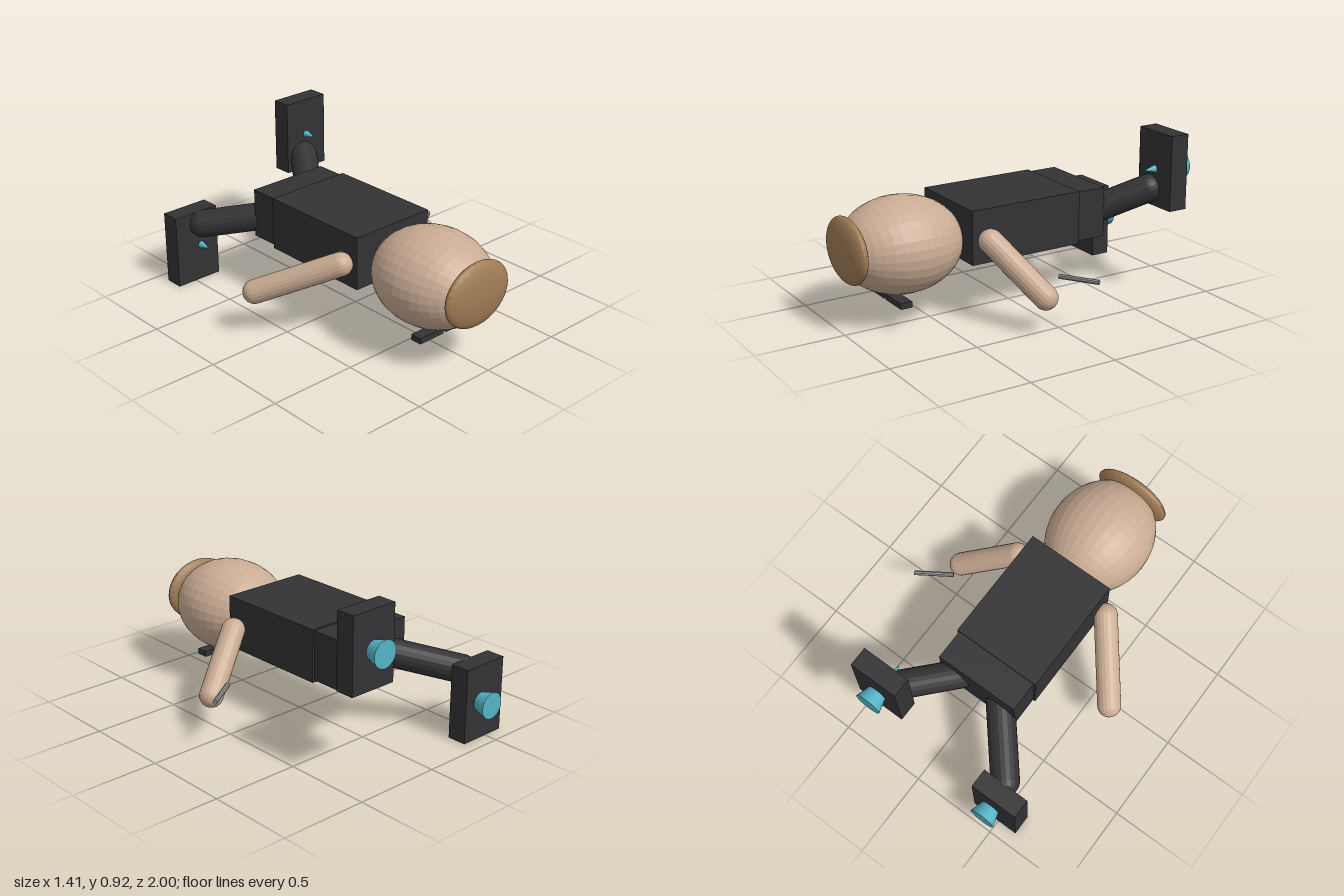
import * as THREE from 'three';

const paint = (color) => new THREE.MeshStandardMaterial({ color });

export function createModel() {
  const model = new THREE.Group();
  const skin = paint(0xcaac94), hair = paint(0xa07c55), dark = paint(0x333336);
  const teal = paint(0x55b4c6), metal = paint(0x909090);
  for (const m of [skin, hair, dark, teal, metal]) m.flatShading = true;

  const add = (name, geometry, material, x = 0, y = 0, z = 0) => {
    const mesh = new THREE.Mesh(geometry, material);
    mesh.name = name;
    mesh.position.set(x, y, z);
    model.add(mesh);
    return mesh;
  };

  // Box given by its lower and upper corners
  const box = (name, material, [x0, y0, z0], [x1, y1, z1]) =>
    add(name, new THREE.BoxGeometry(x1 - x0, y1 - y0, z1 - z0), material,
      (x0 + x1) / 2, (y0 + y1) / 2, (z0 + z1) / 2);

  // Ellipsoid with its poles along z
  const ellipsoid = (name, material, [x, y, z], [rx, ry, rz]) => {
    const geometry = new THREE.SphereGeometry(1, 32, 20).rotateX(Math.PI / 2).scale(rx, ry, rz);
    return add(name, geometry, material, x, y, z);
  };

  // Place an upright geometry so that its axis runs from a to b
  const span = (name, makeGeometry, material, a, b) => {
    const from = new THREE.Vector3(...a), to = new THREE.Vector3(...b);
    const axis = to.clone().sub(from), length = axis.length();
    const mesh = add(name, makeGeometry(length), material);
    mesh.position.copy(from).add(to).multiplyScalar(0.5);
    mesh.quaternion.setFromUnitVectors(new THREE.Vector3(0, 1, 0), axis.normalize());
    return mesh;
  };
  const limb = (name, material, r, a, b) =>
    span(name, (length) => new THREE.CapsuleGeometry(r, length, 8, 20), material, a, b);

  // Head with hair on its crown and two eye plates on the downward face
  ellipsoid('head', skin, [-0.05, 0.422, 0.64], [0.295, 0.262, 0.345]);
  ellipsoid('hair', hair, [-0.052, 0.44, 0.946], [0.225, 0.18, 0.054]);
  for (const x of [-0.23, -0.04])
    box('eyePlate', dark, [x, 0.13, 0.67], [x + 0.17, 0.163, 0.737]);

  // Body, lying face down
  box('torso', dark, [-0.31, 0.32, -0.328], [0.205, 0.62, 0.347]);
  box('pelvis', dark, [-0.298, 0.332, -0.502], [0.193, 0.612, -0.3]);

  // Arms, and a short rod beside the left hand
  limb('rightArm', skin, 0.066, [-0.352, 0.455, 0.265], [-0.64, 0.261, -0.09]);
  limb('leftArm', skin, 0.066, [0.25, 0.455, 0.265], [0.537, 0.202, 0.108]);
  span('rod', (length) => new THREE.CylinderGeometry(0.0135, 0.0135, length, 8), metal,
    [0.506, 0.29, 0.005], [0.692, 0.29, -0.118]);

  // Legs
  limb('leftLeg', dark, 0.079, [0.03, 0.41, -0.4], [0.272, 0.59, -0.745]);
  limb('rightLeg', dark, 0.079, [-0.125, 0.455, -0.4], [-0.45, 0.356, -0.785]);

  // Feet, each with a nozzle behind and a spike in front
  const foot = (side, x, y, z, jetX, jetY) => {
    box(side + 'Foot', dark, [x, y, z - 0.11], [x + 0.282, y + 0.424, z]);
    span(side + 'Nozzle', (length) => new THREE.CylinderGeometry(0.075, 0.05, length, 24), teal,
      [jetX, jetY, z - 0.1], [jetX, jetY, z - 0.187]);
    span(side + 'Spike', (length) => new THREE.ConeGeometry(0.024, length, 12), teal,
      [jetX, jetY, z - 0.01], [jetX, jetY, z + 0.074]);
  };
  foot('left', 0.166, 0.495, -0.76, 0.306, 0.707);
  foot('right', -0.617, 0, -0.813, -0.451, 0.214);

  return model;
}
